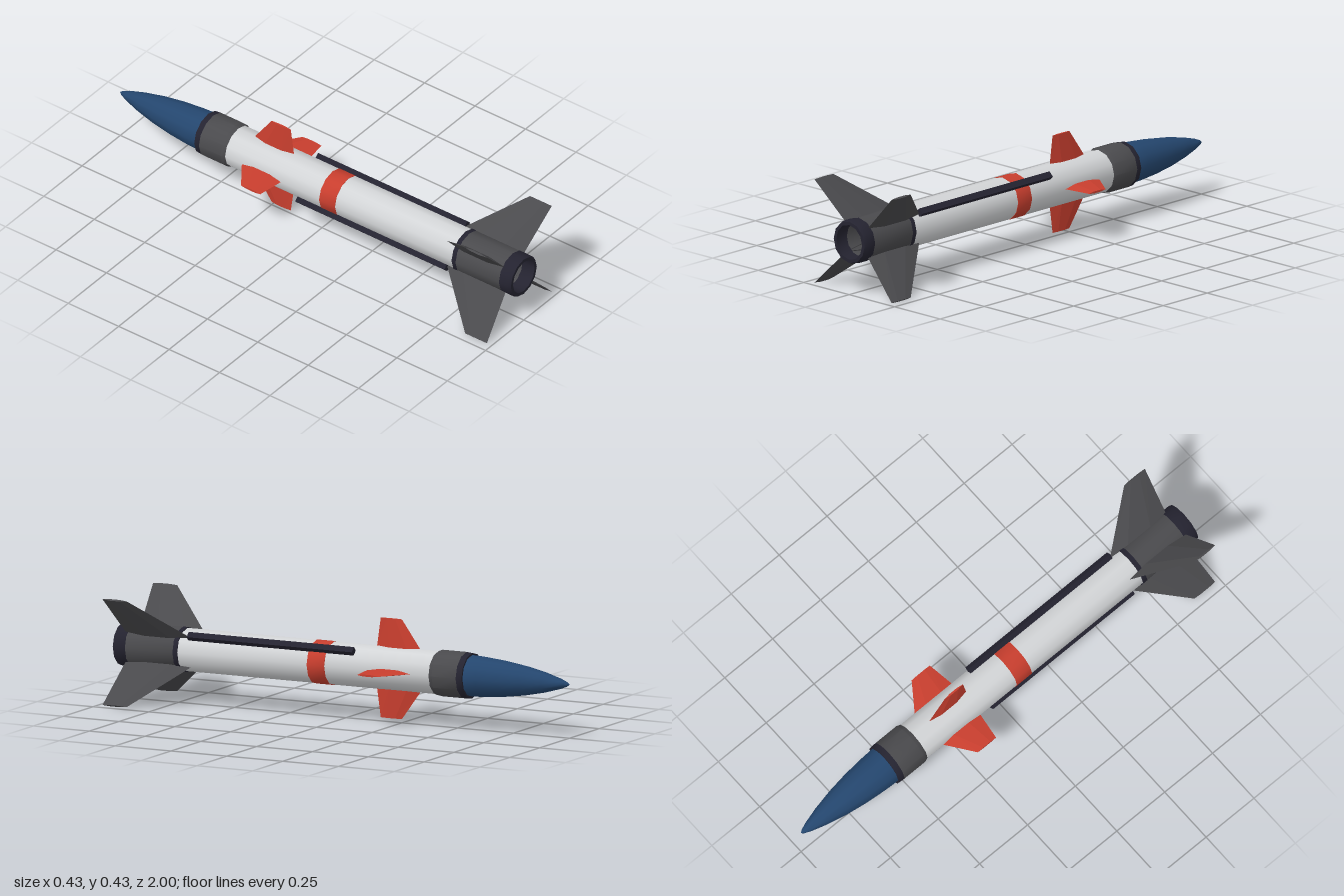
import * as THREE from 'three';
import { toCreasedNormals } from 'three/addons/utils/BufferGeometryUtils.js';

const SIDES = 12;
const AXIS_Y = 0.216; // height of the long axis

const paint = (name, color, side = THREE.FrontSide) => {
  const m = new THREE.MeshStandardMaterial({ color, side });
  m.name = name;
  return m;
};

// Turned shell along z; profile is [radius, z] from tail (+z) to nose (-z)
function shell(name, profile, material) {
  const points = profile.map(([r, z]) => new THREE.Vector2(r, -z));
  const geo = new THREE.LatheGeometry(points, SIDES).rotateX(-Math.PI / 2);
  const mesh = new THREE.Mesh(toCreasedNormals(geo, 0.62), material);
  mesh.name = name;
  return mesh;
}

// Tapered fin pointing along +x, with a six-sided pointed section
function finGeometry(root, tip) {
  const section = ({ r, front, back, thick }) =>
    [[0, 0], [0.3, 0.5], [0.7, 0.5], [1, 0], [0.7, -0.5], [0.3, -0.5]].map(
      ([t, h]) => [r, h * thick, front + (back - front) * t]);
  const a = section(root), b = section(tip), pos = [];
  const tri = (...corners) => corners.forEach((c) => pos.push(...c));
  for (let i = 0; i < 6; i++) {
    const j = (i + 1) % 6;
    tri(a[i], a[j], b[j]);
    tri(a[i], b[j], b[i]);
    if (i > 0 && i < 5) tri(b[0], b[i], b[j]);
  }
  const geo = new THREE.BufferGeometry();
  geo.setAttribute('position', new THREE.Float32BufferAttribute(pos, 3));
  geo.computeVertexNormals();
  return geo;
}

export function createModel() {
  const white = paint('white', 0xd2d4d6, THREE.DoubleSide);
  const red = paint('red', 0xc83e2e, THREE.DoubleSide);
  const blue = paint('blue', 0x24466e, THREE.DoubleSide);
  const grey = paint('grey', 0x4a4a4d, THREE.DoubleSide);
  const dark = paint('dark', 0x242330, THREE.DoubleSide);

  const model = new THREE.Group();
  model.name = 'rocket';
  const rocket = new THREE.Group();
  rocket.name = 'airframe';
  rocket.position.y = AXIS_Y;
  model.add(rocket);

  // Nose cone, open at its base
  const nose = [[0.084, -0.55], [0.081, -0.62], [0.073, -0.71], [0.06, -0.8],
    [0.041, -0.89], [0.021, -0.96], [0.009, -0.99], [0.001, -1]];

  rocket.add(
    shell('noseCone', nose, blue),
    shell('collarBand', [[0.0935, -0.54], [0.091, -0.565], [0.083, -0.565]], dark),
    shell('collar', [[0.087, -0.415], [0.0935, -0.432], [0.0935, -0.54]], grey),
    shell('body', [[0.087, 0.72], [0.087, -0.42]], white),
    shell('stripe', [[0.087, 0.13], [0.0885, 0.13], [0.0885, 0.052], [0.087, 0.052]], red),
    shell('tailSection', [[0.089, 0.945], [0.089, 0.728]], grey),
    shell('tailBand', [[0.0905, 0.73], [0.0905, 0.71], [0.086, 0.71]], dark),
    // Hollow nozzle ring with an inner lip
    shell('nozzleRing', [[0.071, 0.94], [0.071, 1], [0.085, 1], [0.09, 0.985],
      [0.09, 0.945], [0.086, 0.94]], dark),
  );

  const around = (name, geo, material, angle) => {
    const mesh = new THREE.Mesh(geo, material);
    mesh.name = name;
    mesh.rotation.z = angle;
    rocket.add(mesh);
  };

  // Four tail fins on the diagonals and four small fins on the axes
  const tailFin = finGeometry(
    { r: 0.08, front: 0.66, back: 0.955, thick: 0.024 },
    { r: 0.3, front: 0.87, back: 0.978, thick: 0.008 });
  const smallFin = finGeometry(
    { r: 0.08, front: -0.337, back: -0.138, thick: 0.021 },
    { r: 0.2, front: -0.25, back: -0.155, thick: 0.008 });
  for (let i = 0; i < 4; i++) {
    around('tailFin', tailFin, grey, Math.PI / 4 + (i * Math.PI) / 2);
    around('smallFin', smallFin, red, (i * Math.PI) / 2);
  }

  // Two cable rails on opposite sides of the body
  const rail = new THREE.BoxGeometry(0.024, 0.026, 0.74).translate(0.094, 0, 0.3);
  for (const turn of [0, Math.PI]) around('rail', rail, dark, Math.PI / 4 + turn);

  return model;
}
